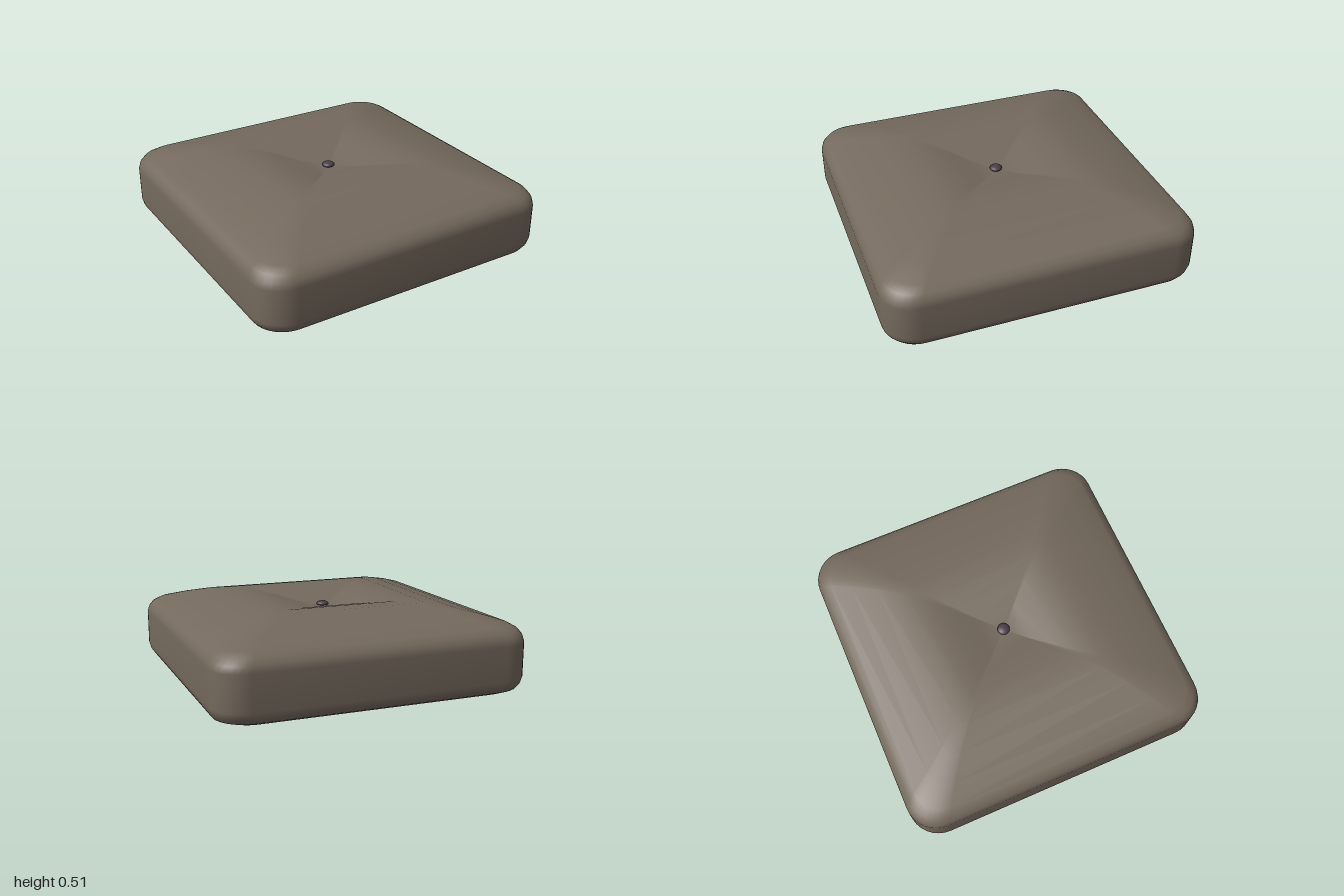
import * as THREE from 'three';

const ARC = 8; // segments per rounded corner

// Rounded square outline of half-width h at height y, counterclockwise from above
function ring(h, y) {
  const r = 0.2 * h * h, pts = [];
  for (let c = 0; c < 4; c++) {
    const mid = Math.PI / 4 + c * Math.PI / 2;
    const cx = Math.sign(Math.cos(mid)) * (h - r), cz = Math.sign(Math.sin(mid)) * (h - r);
    for (let i = 0; i <= ARC; i++) {
      const a = (c + i / ARC) * Math.PI / 2;
      pts.push([cx + r * Math.cos(a), y, -(cz + r * Math.sin(a))]);
    }
  }
  return pts;
}

// Skin between stacked rings; an optional end point closes the last ring
function skin(rings, end) {
  const n = rings[0].length, pos = rings.flat(2), idx = [];
  for (let k = 0; k < rings.length - 1; k++) {
    for (let i = 0; i < n; i++) {
      const j = (i + 1) % n, a = k * n + i, b = k * n + j;
      idx.push(a, b, b + n, a, b + n, a + n);
    }
  }
  if (end) {
    const base = (rings.length - 1) * n, tip = rings.length * n;
    pos.push(...end);
    for (let i = 0; i < n; i++) idx.push(base + i, base + (i + 1) % n, tip);
  }
  const g = new THREE.BufferGeometry();
  g.setAttribute('position', new THREE.Float32BufferAttribute(pos, 3));
  g.setIndex(idx);
  g.computeVertexNormals();
  return g;
}

export function createModel() {
  const model = new THREE.Group();
  const fabric = new THREE.MeshStandardMaterial({ color: 0x74695d });
  const dark = new THREE.MeshStandardMaterial({ color: 0x4a3d47 });
  const add = (name, geo, mat) => {
    const m = new THREE.Mesh(geo, mat);
    m.name = name;
    model.add(m);
    return m;
  };

  // Padded body: rounded sides, domed rim, four panels dipping to the centre
  const profile = [
    [0.915, 0.005], [0.97, 0.03], [0.99, 0.06], [1, 0.1], [1, 0.32], [0.99, 0.36],
    [0.965, 0.395], [0.92, 0.422], [0.8, 0.458], [0.65, 0.495], [0.5, 0.52],
    [0.37, 0.516], [0.25, 0.495], [0.13, 0.463], [0.06, 0.453],
  ];
  add('cushionBody', skin(profile.map(([h, y]) => ring(h, y)), [0, 0.45, 0]), fabric);

  // Flat underside, closed separately to keep its edge crisp
  add('cushionBottom', skin([ring(0.915, 0.005).reverse()], [0, 0.005, 0]), fabric);

  // Centre button
  const button = add('button', new THREE.SphereGeometry(0.04, 24, 12), dark);
  button.scale.y = 0.45;
  button.position.y = 0.46;

  return model;
}
